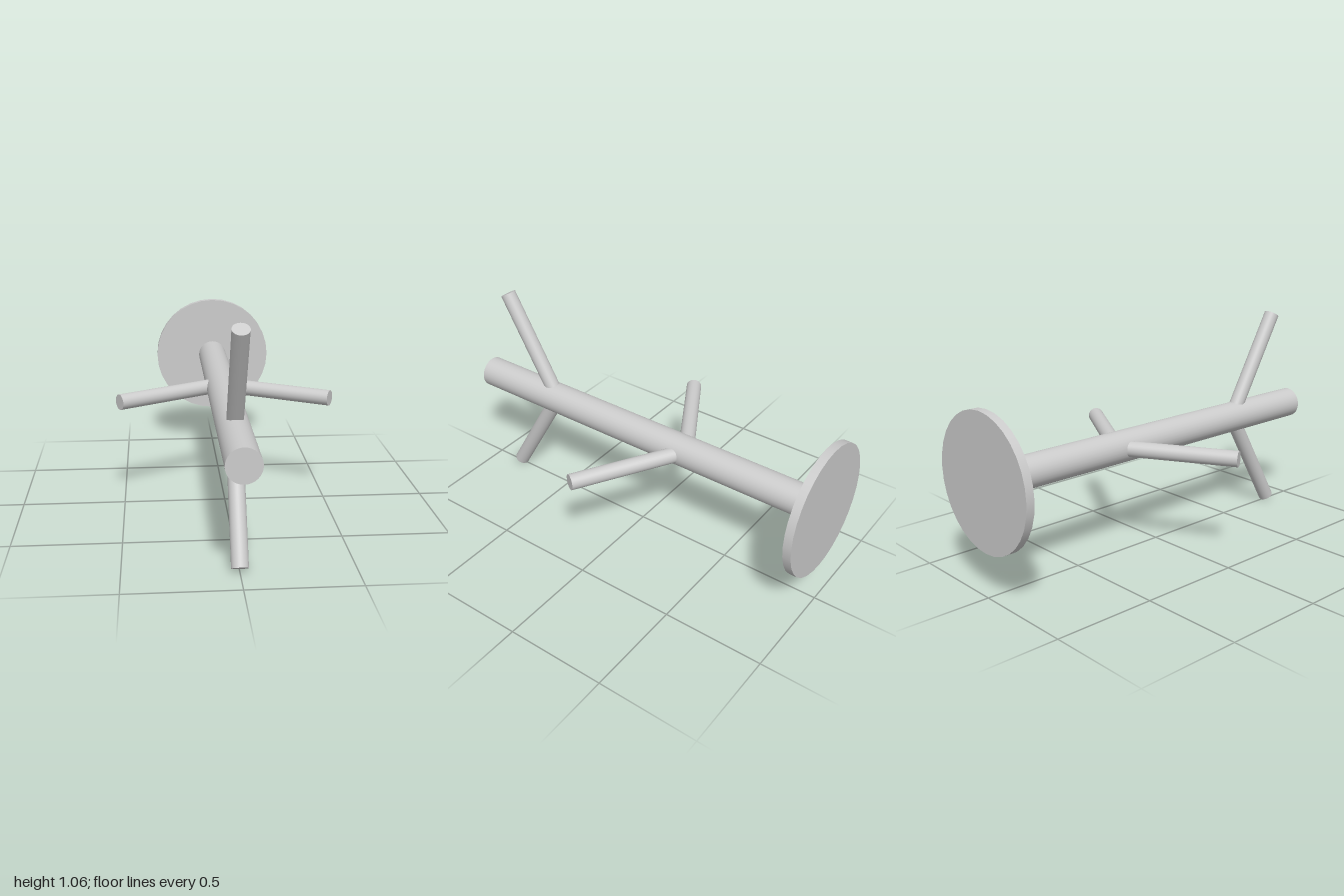
import * as THREE from 'three';

const AXIS_Y = 0.53;
const PEG_LENGTH = 0.59;

export function createModel() {
  const group = new THREE.Group();
  const material = new THREE.MeshStandardMaterial({ color: 0xcccccc });

  // Cylinder running from one point to another
  function rod(name, from, to, radius) {
    const dir = to.clone().sub(from);
    const mesh = new THREE.Mesh(new THREE.CylinderGeometry(radius, radius, dir.length(), 32), material);
    mesh.name = name;
    mesh.position.copy(from).add(to).multiplyScalar(0.5);
    mesh.quaternion.setFromUnitVectors(new THREE.Vector3(0, 1, 0), dir.normalize());
    group.add(mesh);
  }

  // Round mounting plate at the back and the pole it carries
  rod('wallPlate', new THREE.Vector3(0, AXIS_Y, -1), new THREE.Vector3(0, AXIS_Y, -0.96), 0.32);
  rod('pole', new THREE.Vector3(0, AXIS_Y, -0.97), new THREE.Vector3(0, AXIS_Y, 1), 0.077);

  // Pegs lean forward, 60 degrees from the pole: a side pair and a vertical pair
  const out = Math.sin(Math.PI / 3), forward = Math.cos(Math.PI / 3);
  const pegs = [
    ['leftPeg', 1, 0, -0.253],
    ['rightPeg', -1, 0, -0.253],
    ['upperPeg', 0, 1, 0.545],
    ['lowerPeg', 0, -1, 0.545],
  ];
  for (const [name, x, y, z] of pegs) {
    const root = new THREE.Vector3(0, AXIS_Y, z);
    const tip = new THREE.Vector3(x * out, y * out, forward).multiplyScalar(PEG_LENGTH).add(root);
    rod(name, root, tip, 0.038);
  }

  return group;
}
